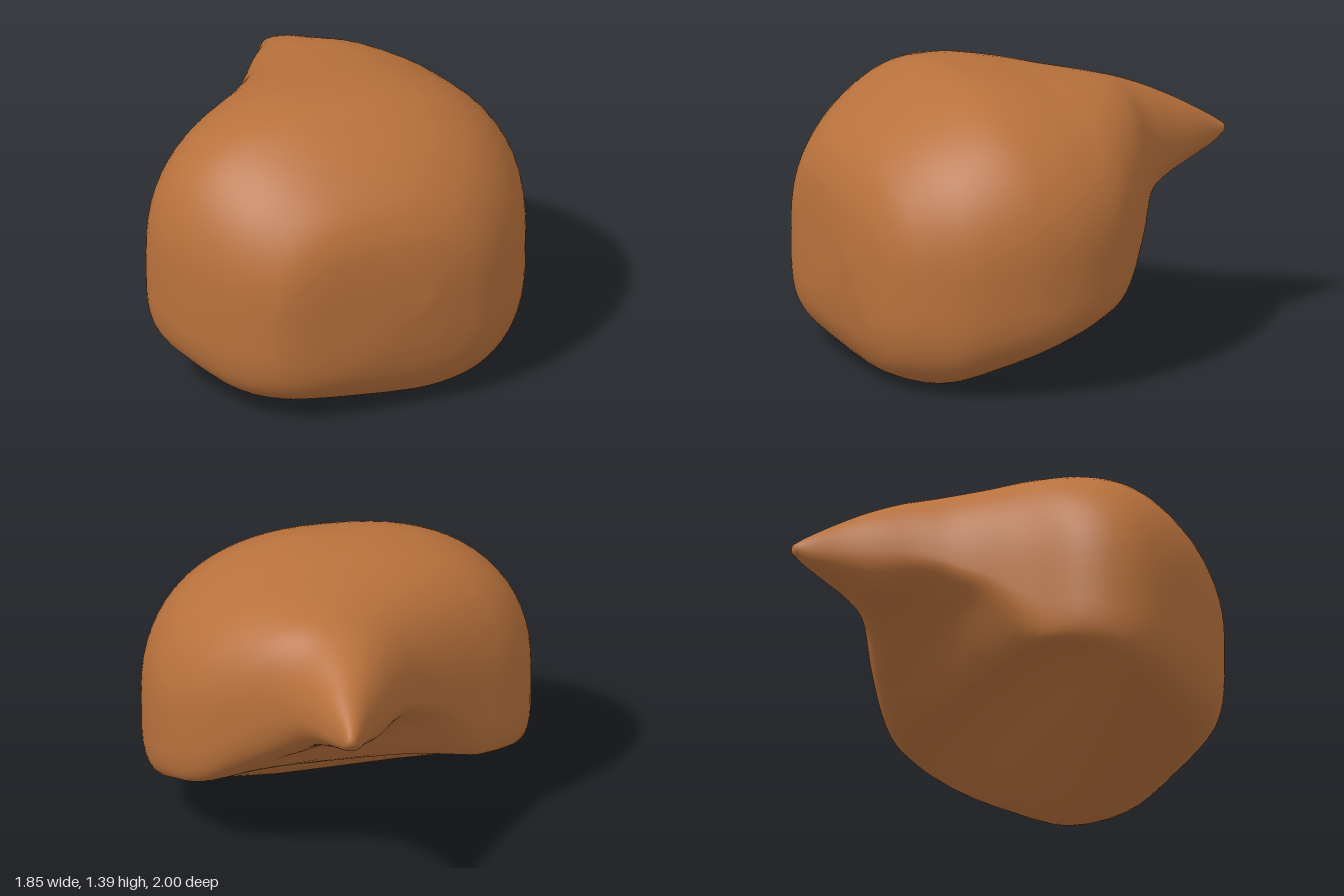
import * as THREE from 'three';

// Cross-sections from front to back: z, xMin, xMax, yBottom, yTop, y of widest line
const SECTIONS = [
  [1.0, 0.14, 0.2, 0.55, 0.61, 0.58],
  [0.98, -0.16, 0.33, 0.32, 0.82, 0.57],
  [0.94, -0.47, 0.49, 0.16, 0.97, 0.56],
  [0.85, -0.63, 0.63, 0.05, 1.11, 0.57],
  [0.66, -0.79, 0.8, 0.0, 1.265, 0.6],
  [0.42, -0.9, 0.9, 0.06, 1.38, 0.62],
  [0.2, -0.925, 0.925, 0.12, 1.39, 0.64],
  [0.0, -0.82, 0.89, 0.19, 1.365, 0.67],
  [-0.17, -0.58, 0.8, 0.28, 1.34, 0.73],
  [-0.35, -0.33, 0.62, 0.49, 1.305, 0.83],
  [-0.5, -0.19, 0.43, 0.66, 1.255, 0.9],
  [-0.65, -0.08, 0.33, 0.76, 1.19, 0.93],
  [-0.8, 0.03, 0.27, 0.83, 1.11, 0.94],
  [-0.93, 0.11, 0.22, 0.885, 1.03, 0.95],
  [-1.0, 0.16, 0.2, 0.94, 0.98, 0.96],
];

const RINGS = 84;
const SIDES = 72;
const { smoothstep } = THREE.MathUtils;

// Smooth curve through three columns of the section table
function columns(a, b, c) {
  const points = SECTIONS.map((s) => new THREE.Vector3(s[a], s[b], s[c]));
  return new THREE.CatmullRomCurve3(points, false, 'catmullrom', 0.5);
}

// Rounded-box falloff of a unit circle coordinate
const swell = (v, n) => Math.sign(v) * Math.abs(v) ** (2 / n);

// Share of the lower depth removed: sloping belly, hollow behind it, slanted tail root
function undercut(x, u, z) {
  const belly = 0.1 * smoothstep(z, 0.2, 0.6) * smoothstep(-x, -0.25, 0.45);
  const hollow = 0.42 * Math.exp(-((z / 0.3) ** 2)) * (1 - u ** 4);
  const root = smoothstep(z, -0.7, -0.4) * (1 - smoothstep(z, -0.32, -0.08));
  return belly + hollow + 0.32 * root * (1 - u);
}

function bodyGeometry() {
  const widths = columns(0, 1, 2);
  const heights = columns(3, 4, 5);
  const position = [];
  const index = [];

  for (let i = 0; i <= RINGS; i++) {
    const t = i / RINGS;
    const { x: z, y: xMin, z: xMax } = widths.getPoint(t);
    const { x: bottom, y: top, z: middle } = heights.getPoint(t);
    const body = smoothstep(z, -0.6, 0.3); // 0 in the tail, 1 in the body
    const boxy = smoothstep(z, -0.6, -0.2);
    const front = smoothstep(z, 0.1, 0.6);
    for (let j = 0; j < SIDES; j++) {
      const angle = (j / SIDES) * Math.PI * 2;
      const c = Math.cos(angle);
      const s = Math.sin(angle);
      const upper = 2.05 + (c < 0 ? 0.45 : 0.25) * body;
      const lower = 2.3 + boxy * (2.3 - (c < 0 ? 0.2 : 1.0) * front);
      const n = s >= 0 ? upper : lower;
      const u = swell(c, n);
      const x = (xMin + xMax) / 2 + ((xMax - xMin) / 2) * u;
      const depth = s >= 0 ? top - middle : (middle - bottom) * (1 - undercut(x, u, z));
      position.push(x, middle + swell(s, n) * depth, z);
    }
  }

  // Skin between neighbouring rings
  for (let i = 0; i < RINGS; i++) {
    for (let j = 0; j < SIDES; j++) {
      const k = (j + 1) % SIDES;
      const a = i * SIDES + j;
      const b = i * SIDES + k;
      index.push(a, a + SIDES, b, b, a + SIDES, b + SIDES);
    }
  }

  // Caps closing the front and the tail tip
  const cap = position.length / 3;
  const first = SECTIONS[0];
  const last = SECTIONS[SECTIONS.length - 1];
  for (const s of [first, last]) position.push((s[1] + s[2]) / 2, s[5], s[0]);
  for (let j = 0; j < SIDES; j++) {
    const k = (j + 1) % SIDES;
    index.push(cap, j, k);
    index.push(cap + 1, RINGS * SIDES + k, RINGS * SIDES + j);
  }

  const geometry = new THREE.BufferGeometry();
  geometry.setAttribute('position', new THREE.Float32BufferAttribute(position, 3));
  geometry.setIndex(index);
  geometry.computeVertexNormals();
  return geometry;
}

export function createModel() {
  const group = new THREE.Group();
  group.name = 'teardropBlob';
  const body = new THREE.Mesh(
    bodyGeometry(),
    new THREE.MeshStandardMaterial({ color: 0xb8713c })
  );
  body.name = 'bodyWithPointedTail';
  group.add(body);
  return group;
}
